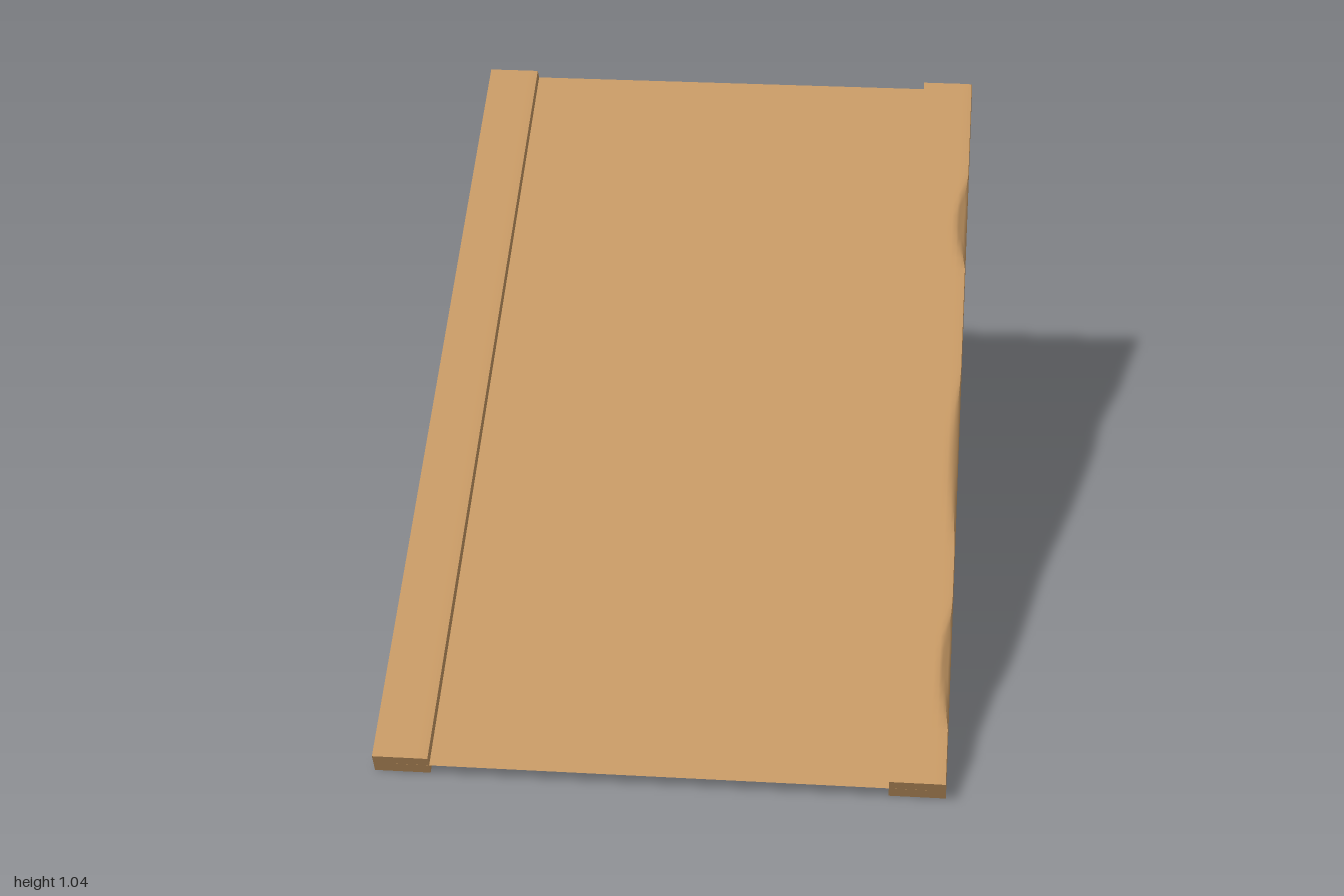
import * as THREE from 'three';

const FRONT = 0.985, BACK = -0.985, LOW = 0.03, HIGH = 1.015;
const HALF = 0.615;                       // half width between the side walls
const RAIL = { x: 0.593, w: 0.13, h: 0.06, len: 2.2 };
const SLOPE = Math.atan2(HIGH - LOW, FRONT - BACK);

// Wooden rail; chips are [position along rail, half length, depth] on its outer top edge
function railGeometry(chips) {
  const g = new THREE.BoxGeometry(RAIL.w, RAIL.h, RAIL.len, 10, 5, 60);
  const p = g.attributes.position;
  for (let i = 0; i < p.count; i++) {
    let depth = 0.003;
    for (const [at, half, d] of chips) {
      const t = (p.getZ(i) - at) / half;
      if (Math.abs(t) < 1) depth = Math.max(depth, d * (1 - t * t));
    }
    const inset = (RAIL.w / 2 - p.getX(i)) + (RAIL.h / 2 - p.getY(i));
    if (inset < depth) {
      const push = (depth - inset) / 2;
      p.setX(i, p.getX(i) - push);
      p.setY(i, p.getY(i) - push);
    }
  }
  g.computeVertexNormals();
  return g;
}

export function createModel() {
  const group = new THREE.Group();
  group.name = 'ramp';
  const wood = new THREE.MeshStandardMaterial({ color: 0xc49763, side: THREE.DoubleSide });
  wood.name = 'wood';

  const add = (name, geometry) => {
    const mesh = new THREE.Mesh(geometry, wood);
    mesh.name = name;
    group.add(mesh);
    return mesh;
  };

  // Sloping deck
  const deck = new THREE.PlaneGeometry(HALF * 2, Math.hypot(FRONT - BACK, HIGH - LOW));
  deck.rotateX(-Math.PI / 2 + SLOPE);
  add('deck', deck).position.y = (LOW + HIGH) / 2;

  // Upright back wall; the underside stays open
  const back = new THREE.PlaneGeometry(HALF * 2, HIGH - LOW);
  back.rotateY(Math.PI);
  add('backWall', back).position.set(0, (LOW + HIGH) / 2, BACK);

  // Triangular side wall, drawn in (-z, y) and turned to face +x
  const triangle = new THREE.Shape([
    new THREE.Vector2(-FRONT, LOW),
    new THREE.Vector2(-BACK, LOW),
    new THREE.Vector2(-BACK, HIGH),
  ]);
  const sideGeometry = new THREE.ShapeGeometry(triangle).rotateY(Math.PI / 2);
  const chips = [[-0.6, 0.16, 0.03], [0.17, 0.28, 0.02], [0.78, 0.18, 0.025]];

  for (const side of [1, -1]) {
    const label = side > 0 ? 'left' : 'right';
    const wall = sideGeometry.clone();
    if (side < 0) {
      // Reverse the winding so the opposite wall faces outward
      wall.index.array.reverse();
      wall.computeVertexNormals();
    }
    add(label + 'Wall', wall).position.x = side * HALF;

    // Raised rail along the edge of the deck
    const rail = add(label + 'Rail', railGeometry(side > 0 ? chips : []));
    rail.position.set(side * RAIL.x, 0.52, 0);
    rail.rotation.x = SLOPE;
  }
  return group;
}
